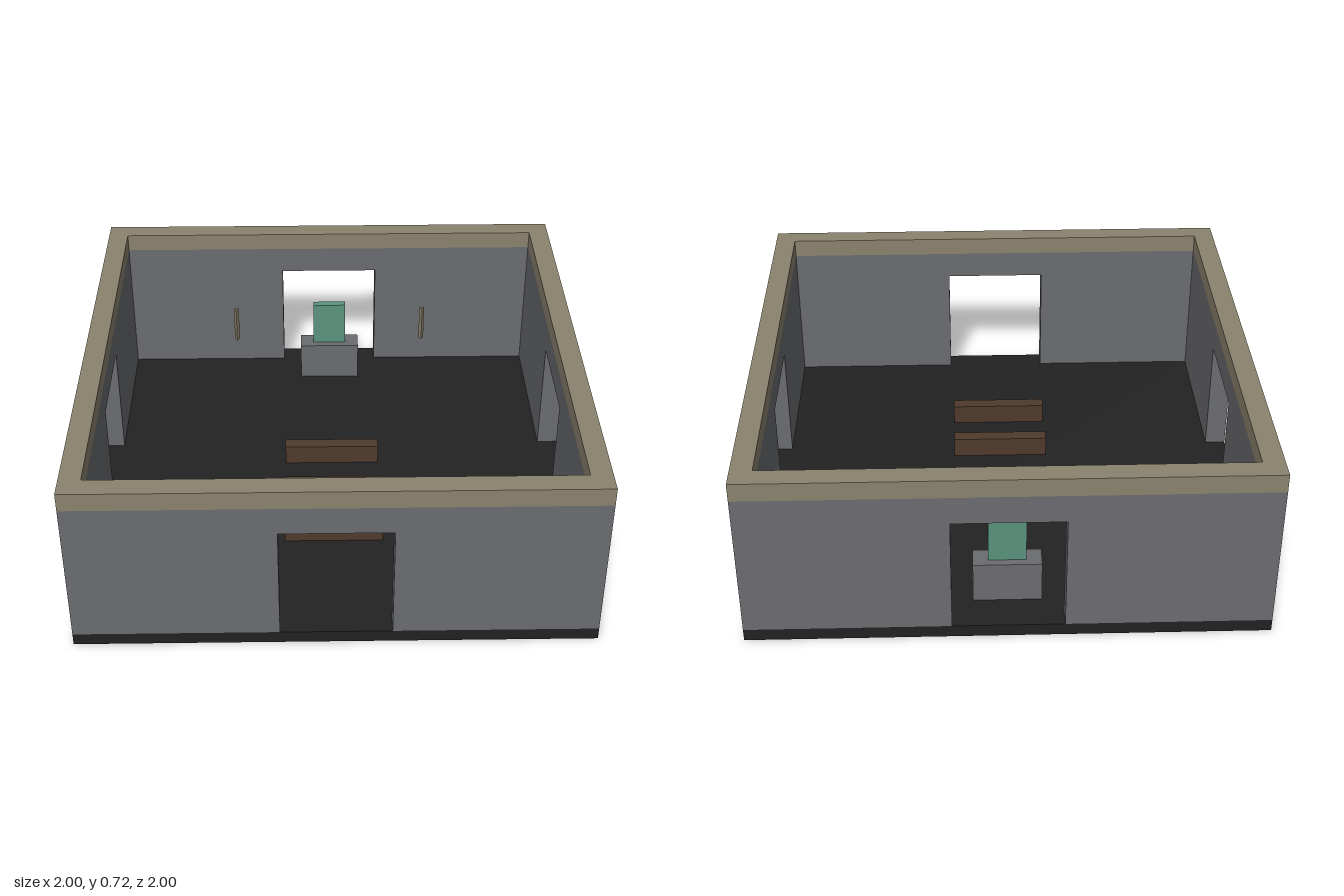
import * as THREE from 'three';

const mat = (name, color) => {
  const m = new THREE.MeshStandardMaterial({ color });
  m.name = name;
  return m;
};

export function createModel() {
  const group = new THREE.Group();
  const stone = mat('grey stone', 0x6b6c71);
  const trim = mat('tan trim', 0x8b836e);
  const dark = mat('dark floor', 0x222222);
  const wood = mat('brown wood', 0x4f3a2b);
  const jade = mat('green jade', 0x5a947e);

  const floorTop = 0.05, wallTop = 0.645, top = 0.72, t = 0.084;
  const doorHalf = 0.214, doorTop = 0.53;

  const add = (name, geometry, material, x = 0, y = 0, z = 0) => {
    const mesh = new THREE.Mesh(geometry, material);
    mesh.name = name;
    mesh.position.set(x, y, z);
    group.add(mesh);
    return mesh;
  };
  // Box standing on the height y0
  const box = (name, w, y0, y1, d, material, x = 0, z = 0) =>
    add(name, new THREE.BoxGeometry(w, y1 - y0, d), material, x, (y0 + y1) / 2, z);

  box('floor', 2, 0, floorTop, 2, dark);

  // Four walls, each with a doorway cut from the floor up
  const wallGeometry = (half) => {
    const outline = [
      [-half, floorTop], [-doorHalf, floorTop], [-doorHalf, doorTop], [doorHalf, doorTop],
      [doorHalf, floorTop], [half, floorTop], [half, wallTop], [-half, wallTop],
    ];
    const shape = new THREE.Shape(outline.map(([x, y]) => new THREE.Vector2(x, y)));
    return new THREE.ExtrudeGeometry(shape, { depth: t, bevelEnabled: false }).translate(0, 0, 1 - t);
  };
  const fullWall = wallGeometry(1), sideWall = wallGeometry(1 - t);
  ['frontWall', 'leftWall', 'backWall', 'rightWall'].forEach((name, i) => {
    add(name, i % 2 ? sideWall : fullWall, stone).rotation.y = i * Math.PI / 2;
  });

  // Square trim ring along the top of the walls
  const square = (Type, h) => new Type([[-h, -h], [h, -h], [h, h], [-h, h]].map(([x, y]) => new THREE.Vector2(x, y)));
  const ring = square(THREE.Shape, 1);
  ring.holes.push(square(THREE.Path, 1 - t));
  add('wallTrim', new THREE.ExtrudeGeometry(ring, { depth: top - wallTop, bevelEnabled: false })
    .rotateX(-Math.PI / 2), trim, 0, wallTop, 0);

  // Three benches in a row
  for (let i = 0; i < 3; i++) {
    box('bench', 0.4, floorTop, 0.135, 0.055, wood, 0, -0.1 + i * 0.266);
  }

  // Altar with an upright slab
  box('altar', 0.265, floorTop, 0.22, 0.095, stone, 0, -0.803);
  box('altarSlab', 0.147, 0.22, 0.42, 0.033, jade, 0, -0.803);

  // Slim three-sided torches either side of the altar
  for (const side of [-1, 1]) {
    const torch = new THREE.CylinderGeometry(0.013, 0.013, 0.11, 3).toNonIndexed();
    torch.scale(1, 1.5, 1);
    torch.computeVertexNormals();
    add(side > 0 ? 'leftTorch' : 'rightTorch', torch, trim, side * 0.432, 0.29, -0.839);
  }
  return group;
}
